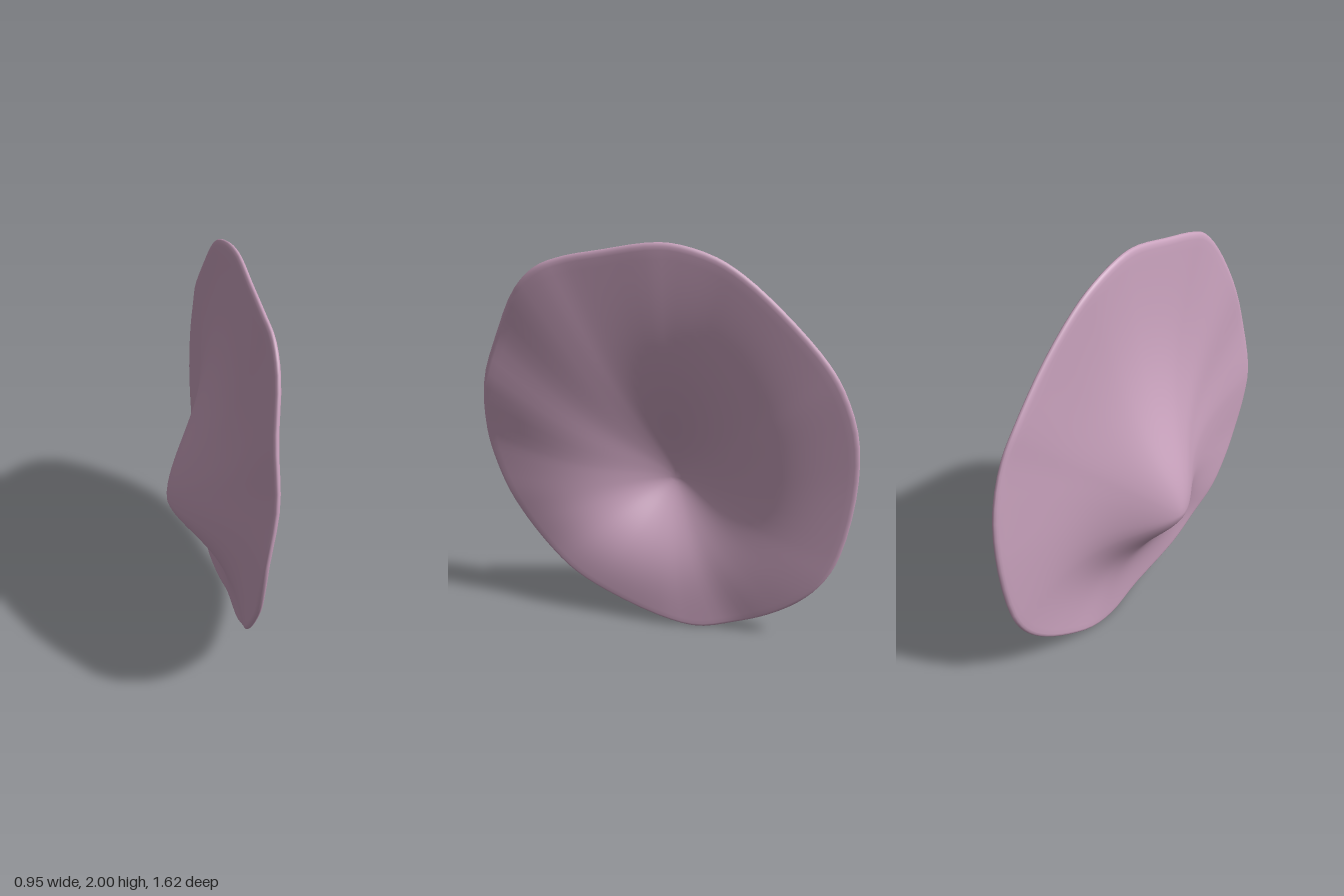
import * as THREE from 'three';

// Local frame of the tilted sheet: U runs along it, V is up, N is the bulging side
const U = new THREE.Vector3(0.5, 0, 0.866);
const V = new THREE.Vector3(0, 1, 0);
const N = new THREE.Vector3(-0.866, 0, 0.5);
const APEX = 0.71;
const HALF = 0.015;

// Wavy rim, counter-clockwise seen from the bulging side
const RIM = [
  [0.44, 1.0, 0.81], [0.465, 1.28, 0.77], [0.43, 1.53, 0.69], [0.4, 1.76, 0.575],
  [0.35, 1.87, 0.48], [0.28, 1.92, 0.38], [0.18, 1.96, 0.22], [0.07, 2.0, 0.04],
  [0.0, 2.0, -0.06], [-0.1, 1.95, -0.21], [-0.17, 1.87, -0.33], [-0.27, 1.7, -0.5],
  [-0.37, 1.5, -0.655], [-0.41, 1.37, -0.73], [-0.455, 1.15, -0.795], [-0.47, 0.86, -0.805],
  [-0.44, 0.51, -0.76], [-0.4, 0.35, -0.7], [-0.35, 0.23, -0.61], [-0.28, 0.12, -0.47],
  [-0.2, 0.04, -0.31], [-0.09, 0.0, -0.16], [0.02, 0.04, 0.0], [0.16, 0.15, 0.28],
  [0.24, 0.25, 0.43], [0.29, 0.37, 0.56], [0.345, 0.52, 0.66], [0.39, 0.67, 0.73],
  [0.42, 0.84, 0.785],
].map(p => new THREE.Vector3(...p));

// Height of the rounded cone: steep below its tip, drawn out above it
function bulge(u, v) {
  const r = Math.hypot(u / (u < 0 ? 0.265 : 0.275), v / (v < 0 ? 0.21 : 0.42));
  return 0.285 * Math.exp(-Math.LN2 * Math.pow(r, 1.75));
}

function sheetGeometry() {
  const SEG = 96, STEPS = 30;
  const curve = new THREE.CatmullRomCurve3(RIM, true);
  const rim = Array.from({ length: SEG }, (_, j) => {
    const p = curve.getPoint(j / SEG);
    return { u: p.dot(U), v: p.y - APEX, h: p.dot(N) };
  });

  // Rings go out over the front, round the edge and back in behind
  const rings = [];
  for (let i = 1; i <= STEPS; i++) rings.push([0.975 * i / STEPS, HALF]);
  for (let a = 60; a >= -60; a -= 30) {
    const k = a * Math.PI / 180;
    rings.push([0.975 + 0.025 * Math.cos(k), HALF * Math.sin(k)]);
  }
  for (let i = STEPS; i >= 1; i--) rings.push([0.975 * i / STEPS, -HALF]);

  const pos = [], index = [];
  const add = (u, v, h) => {
    const p = new THREE.Vector3().addScaledVector(U, u).addScaledVector(V, v + APEX).addScaledVector(N, h);
    pos.push(p.x, p.y, p.z);
  };
  for (const [t, off] of rings) {
    for (const r of rim) {
      const u = r.u * t, v = r.v * t;
      add(u, v, r.h * t * t + bulge(u, v) * (1 - t ** 6) + off);
    }
  }
  const front = rings.length * SEG, back = front + 1;
  add(0, 0, bulge(0, 0) + HALF);
  add(0, 0, bulge(0, 0) - HALF);

  for (let j = 0; j < SEG; j++) {
    const k = (j + 1) % SEG, last = (rings.length - 1) * SEG;
    index.push(front, j, k, back, last + k, last + j);
    for (let i = 0; i < rings.length - 1; i++) {
      const a = i * SEG + j, b = a + SEG, d = i * SEG + k, c = d + SEG;
      index.push(a, b, c, a, c, d);
    }
  }
  const geo = new THREE.BufferGeometry();
  geo.setAttribute('position', new THREE.Float32BufferAttribute(pos, 3));
  geo.setIndex(index);
  geo.computeVertexNormals();
  return geo;
}

export function createModel() {
  const group = new THREE.Group();
  group.name = 'membrane';
  const material = new THREE.MeshStandardMaterial({ color: 0xc9a2bd });
  material.name = 'mauve pink';
  const sheet = new THREE.Mesh(sheetGeometry(), material);
  sheet.name = 'conedSheet';
  group.add(sheet);
  return group;
}
